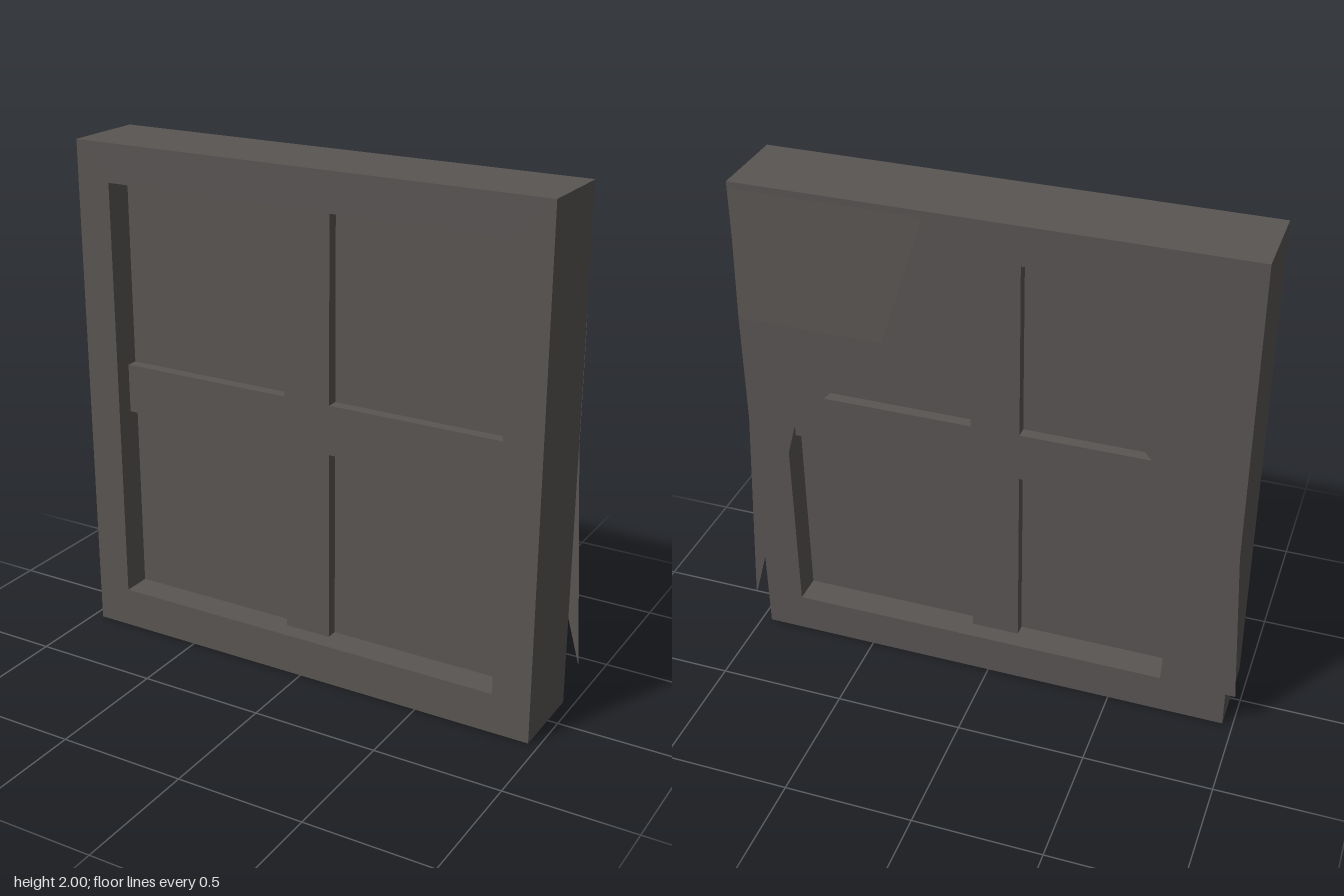
import * as THREE from 'three';

export function createModel() {
  const group = new THREE.Group();
  const darkWood = new THREE.MeshStandardMaterial({ color: 0x5a5553 });
  darkWood.name = 'charcoal';
  const cloth = darkWood.clone();
  cloth.name = 'charcoalCloth';
  cloth.side = THREE.DoubleSide;

  const add = (name, geometry, material, x = 0, y = 0, z = 0) => {
    const mesh = new THREE.Mesh(geometry, material);
    mesh.name = name;
    mesh.position.set(x, y, z);
    group.add(mesh);
  };

  // Opening of the frame
  const x0 = -0.82, x1 = 0.81, y0 = 0.16, y1 = 1.85;
  const midX = (x0 + x1) / 2, midY = (y0 + y1) / 2, midZ = 0.015;

  // Outer frame with a rectangular opening
  const rect = (Type, l, b, r, t) => new Type().moveTo(l, b).lineTo(r, b).lineTo(r, t).lineTo(l, t).closePath();
  const outline = rect(THREE.Shape, -0.96, 0, 0.96, 2);
  outline.holes.push(rect(THREE.Path, x0, y0, x1, y1));
  add('frame', new THREE.ExtrudeGeometry(outline, { depth: 0.33, bevelEnabled: false }), darkWood, 0, 0, -0.15);

  // Pane and the crossing bars, standing proud of it on both faces
  add('pane', new THREE.BoxGeometry(x1 - x0, y1 - y0, 0.1), darkWood, midX, midY, midZ);
  add('verticalBar', new THREE.BoxGeometry(0.19, y1 - y0, 0.19), darkWood, -0.007, midY, midZ);
  add('horizontalBar', new THREE.BoxGeometry(x1 - x0, 0.195, 0.19), darkWood, midX, 1.017, midZ);

  // Curtain sheet from rows of [y, inner x, outer x, z]
  const curtain = (name, rows) => {
    const points = [], index = [];
    rows.forEach(([y, inner, outer, z], i) => {
      points.push(inner, y, z, outer, y, z);
      if (i > 0) {
        const a = 2 * i - 2;
        index.push(a, a + 1, a + 3, a, a + 3, a + 2);
      }
    });
    // Keep the front of the sheet facing away from the frame
    if (rows[0][1] < 0) index.reverse();
    const geometry = new THREE.BufferGeometry();
    geometry.setAttribute('position', new THREE.Float32BufferAttribute(points, 3));
    geometry.setIndex(index);
    const flat = geometry.toNonIndexed();
    flat.computeVertexNormals();
    add(name, flat, cloth);
  };

  // Left curtain leans off the frame and ends in a torn point
  curtain('leftCurtain', [
    [1.98, 0.225, 0.95, -0.16],
    [1.47, 0.385, 0.95, -0.18],
    [1.03, 0.76, 0.95, -0.18],
    [0.16, 0.998, 1.0, -0.18],
  ]);
  // Right curtain hangs straight
  curtain('rightCurtain', [
    [1.99, -0.22, -0.95, -0.16],
    [1.46, -0.375, -0.95, -0.16],
    [1.02, -0.745, -0.95, -0.16],
    [0.16, -0.705, -1.0, -0.16],
  ]);
  return group;
}
